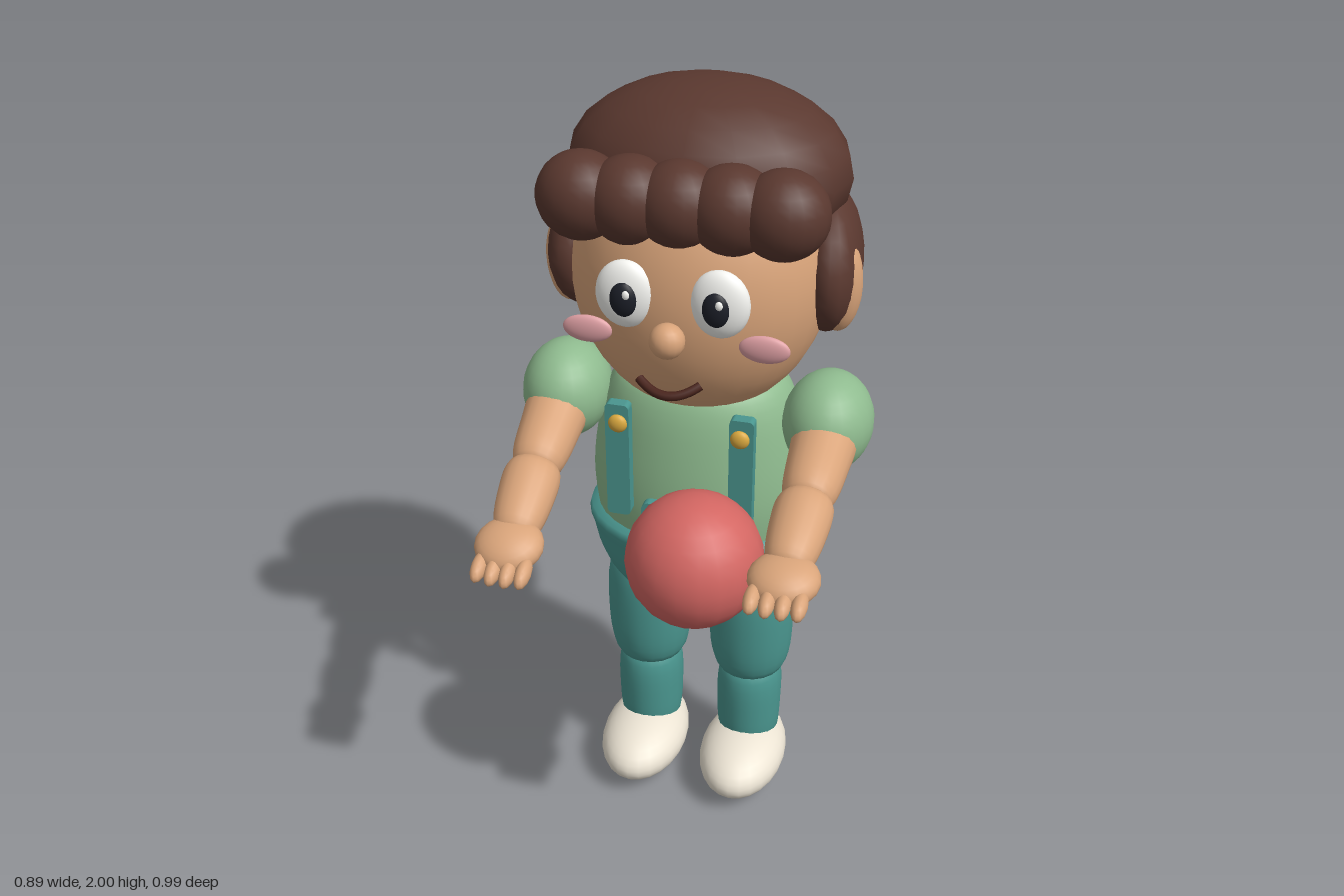
import * as THREE from 'three';

const COLORS = {
  hair: 0x5a382f, skin: 0xd9a47a, shirt: 0x8fbb8f, teal: 0x4a968f, ball: 0xd36662,
  shoe: 0xece4d4, cheek: 0xdfa0a4, gold: 0xdcaa40, white: 0xf4f4f0, dark: 0x1c1f28, mouth: 0x4a241c,
};
const materials = {};
for (const [key, color] of Object.entries(COLORS)) {
  materials[key] = new THREE.MeshStandardMaterial({ color });
}

export function createModel() {
  const model = new THREE.Group();
  model.name = 'childWithBall';

  function add(name, geometry, mat, pos = [0, 0, 0], parent = model) {
    const mesh = new THREE.Mesh(geometry, materials[mat]);
    mesh.name = name;
    mesh.position.set(...pos);
    parent.add(mesh);
    return mesh;
  }

  function ellipsoid(name, mat, pos, radii, segments = 24, parent = model) {
    const mesh = add(name, new THREE.SphereGeometry(1, segments, Math.ceil(segments * 0.7)), mat, pos, parent);
    mesh.scale.set(...radii);
    return mesh;
  }

  // Smooth lathe through a few [radius, y] points
  function lathe(points, segments = 32) {
    const curve = new THREE.SplineCurve(points.map(([r, y]) => new THREE.Vector2(r, y)));
    const profile = curve.getPoints(20).map((p) => new THREE.Vector2(Math.max(p.x, 0), p.y));
    return new THREE.LatheGeometry(profile, segments);
  }

  // Barrel-shaped limb from a to b with rounded closed ends
  function limb(name, mat, a, b, r0, rMid, r1) {
    const start = new THREE.Vector3(...a);
    const dir = new THREE.Vector3(...b).sub(start);
    const len = dir.length();
    const geo = lathe([[0, -0.02], [r0, 0.005], [rMid, len * 0.45], [r1, len - 0.005], [0, len + 0.02]], 20);
    const mesh = add(name, geo, mat, a);
    mesh.quaternion.setFromUnitVectors(new THREE.Vector3(0, 1, 0), dir.normalize());
    return mesh;
  }

  // Rounded flat panel facing +z
  function panel(w, h, depth, r) {
    const s = new THREE.Shape();
    const x = w / 2, y = h / 2;
    s.absarc(x - r, y - r, r, 0, Math.PI / 2);
    s.absarc(-x + r, y - r, r, Math.PI / 2, Math.PI);
    s.absarc(-x + r, -y + r, r, Math.PI, Math.PI * 1.5);
    s.absarc(x - r, -y + r, r, Math.PI * 1.5, Math.PI * 2);
    return new THREE.ExtrudeGeometry(s, { depth, bevelEnabled: false, curveSegments: 5 }).translate(0, 0, -depth / 2);
  }

  // Torso and trousers
  const torso = add('shirt', lathe([[0.27, 0.86], [0.282, 0.97], [0.27, 1.1], [0.235, 1.24], [0.17, 1.3], [0, 1.32]]),
    'shirt', [0, 0, -0.175]);
  torso.scale.z = 0.77;
  const hips = add('trousersHips', lathe([[0, 0.56], [0.1, 0.575], [0.19, 0.63], [0.255, 0.71], [0.286, 0.81], [0.274, 0.885], [0, 0.89]]),
    'teal', [0, 0, -0.175]);
  hips.scale.z = 0.77;
  add('bibPocket', panel(0.18, 0.145, 0.025, 0.02), 'teal', [0, 0.947, 0.062]);

  // Head and face
  ellipsoid('head', 'skin', [0, 1.56, -0.17], [0.315, 0.36, 0.288], 32);
  ellipsoid('nose', 'skin', [0, 1.515, 0.146], [0.042, 0.042, 0.04], 16);
  const smile = new THREE.QuadraticBezierCurve3(
    new THREE.Vector3(-0.073, 1.4, 0.125), new THREE.Vector3(0, 1.352, 0.175), new THREE.Vector3(0.073, 1.4, 0.125));
  add('mouth', new THREE.TubeGeometry(smile, 16, 0.011, 8), 'mouth');

  // Hair: crown and a row of fringe curls
  ellipsoid('hairCrown', 'hair', [0, 1.79, -0.23], [0.343, 0.21, 0.267], 16);
  for (let i = -2; i <= 2; i++) {
    ellipsoid('fringeCurl', 'hair', [i * 0.116, 1.79, 0.022], [0.105, 0.102, 0.1], 20);
  }

  for (const s of [1, -1]) {
    // Side hair and ears
    const sideHair = ellipsoid('sideHair', 'hair', [s * 0.29, 1.575, -0.26], [0.085, 0.17, 0.2], 20);
    sideHair.rotation.y = s * 0.18;
    ellipsoid('ear', 'skin', [s * 0.335, 1.555, -0.165], [0.055, 0.12, 0.052], 20);

    // Eyes and cheeks
    ellipsoid('eyeWhite', 'white', [s * 0.11, 1.597, 0.098], [0.07, 0.082, 0.034]);
    ellipsoid('pupil', 'dark', [s * 0.107, 1.595, 0.123], [0.033, 0.043, 0.02], 16);
    ellipsoid('eyeGlint', 'white', [s * 0.107 + 0.01, 1.612, 0.139], [0.009, 0.011, 0.006], 10);
    ellipsoid('cheek', 'cheek', [s * 0.21, 1.487, 0.078], [0.06, 0.034, 0.015]);

    // Braces with buttons
    add('brace', panel(0.06, 0.315, 0.03, 0.012), 'teal', [s * 0.155, 1.117, 0.035]);
    ellipsoid('braceButton', 'gold', [s * 0.152, 1.225, 0.052], [0.024, 0.024, 0.014], 16);

    // Legs and shoes
    limb('thigh', 'teal', [s * 0.145, 0.36, -0.185], [s * 0.145, 0.69, -0.185], 0.092, 0.116, 0.1);
    limb('shin', 'teal', [s * 0.145, 0.1, -0.185], [s * 0.145, 0.37, -0.185], 0.082, 0.1, 0.088).scale.x = 0.9;
    ellipsoid('shoe', 'shoe', [s * 0.146, 0.086, -0.118], [0.12, 0.086, 0.192]);

    // Arms: the left is held a little higher and further forward
    const left = s > 0;
    const elbow = left ? [0.337, 1.148, 0.15] : [-0.337, 1.125, 0.14];
    const wrist = left ? [0.33, 1.09, 0.34] : [-0.33, 1.05, 0.32];
    ellipsoid('sleeve', 'shirt', [s * 0.335, 1.212, -0.117], [0.112, 0.127, 0.135]);
    limb('upperArm', 'skin', [s * 0.34, 1.2, -0.08], elbow, 0.07, 0.072, 0.056).scale.x = 1.05;
    limb('forearm', 'skin', elbow, wrist, 0.056, 0.062, 0.046).scale.x = 1.12;

    // Hand with four fingers
    const hand = new THREE.Group();
    hand.name = 'hand';
    hand.position.set(s * 0.331, wrist[1] - 0.012, wrist[2] + 0.033);
    hand.rotation.x = left ? 0.2 : 0.35;
    model.add(hand);
    ellipsoid('palm', 'skin', [0, 0, 0], [0.084, 0.046, 0.078], 20, hand);
    for (let i = 0; i < 4; i++) {
      const x = (i - 1.5) * 0.036;
      const z = 0.078 - Math.abs(i - 1.5) * 0.004;
      ellipsoid('finger', 'skin', [x - s * 0.004, 0, z], [0.019, 0.023, 0.045], 12, hand);
    }
  }

  // Ball held between the hands
  ellipsoid('ball', 'ball', [0.093, 1.005, 0.25], [0.166, 0.166, 0.166], 20);

  return model;
}
